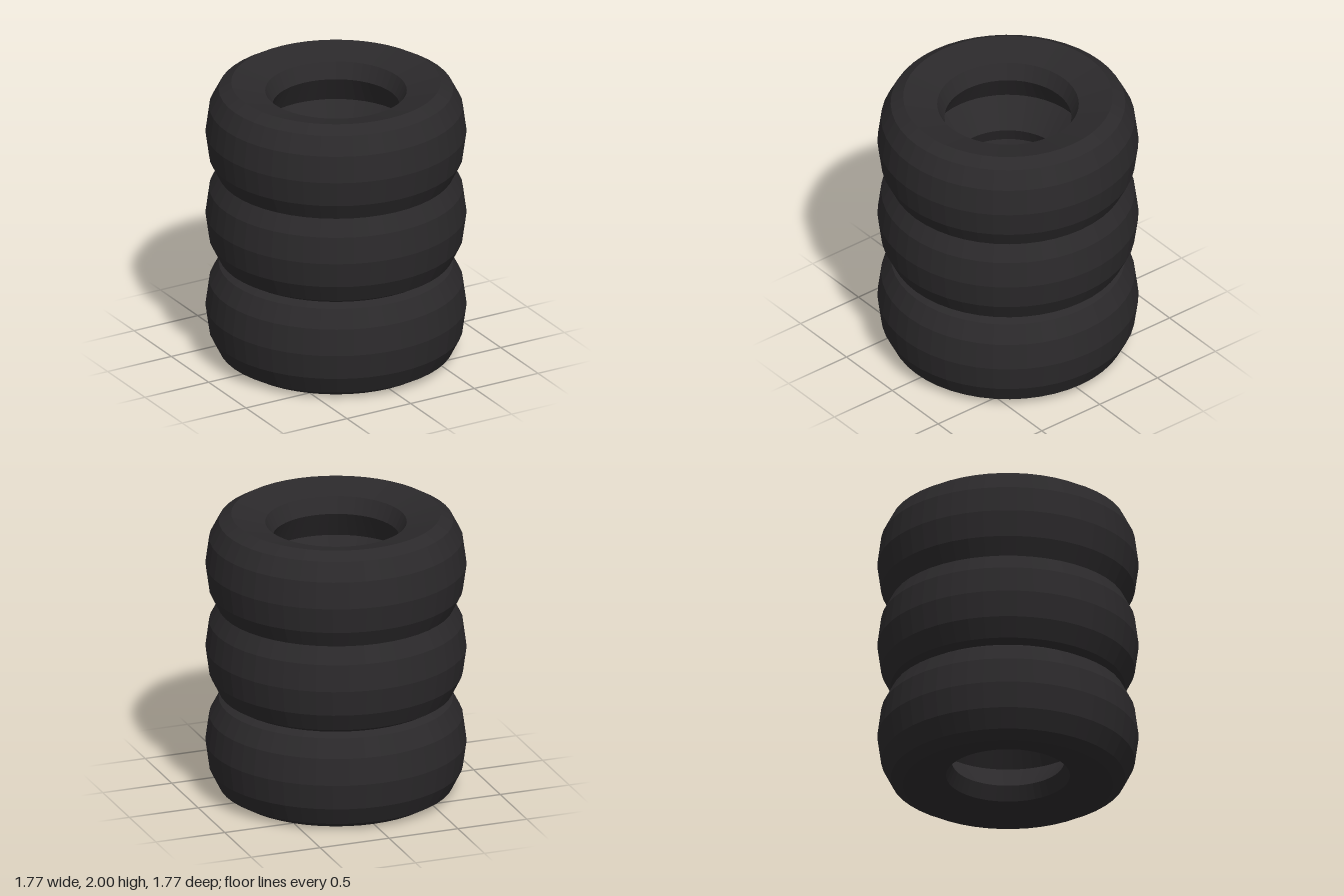
import * as THREE from 'three';

const SEGMENTS = 48;

// Closed tyre cross-section [radius, height]: up the tread, then down the bore
const SECTION = [
  [0.71, 0], [0.795, 0.05], [0.86, 0.18], [0.885, 0.36],
  [0.86, 0.545], [0.795, 0.67], [0.71, 0.72],   // tread and shoulders
  [0.48, 0.66], [0.43, 0.55],                   // dished upper sidewall and bead
  [0.53, 0.36],                                 // groove inside the bore
  [0.38, 0.17], [0.42, 0.07], [0.71, 0],        // lower bead and sidewall
];

export function createModel() {
  const group = new THREE.Group();
  group.name = 'tyreStack';

  const rubber = new THREE.MeshStandardMaterial({ color: 0x2b292b, flatShading: true });
  const tyre = new THREE.LatheGeometry(SECTION.map(([r, y]) => new THREE.Vector2(r, y)), SEGMENTS);

  // Three tyres, slightly sunk into one another
  const stack = { bottomTyre: 0, middleTyre: 0.68, topTyre: 1.28 };
  for (const [name, y] of Object.entries(stack)) {
    const mesh = new THREE.Mesh(tyre, rubber);
    mesh.name = name;
    mesh.position.y = y;
    group.add(mesh);
  }
  return group;
}
